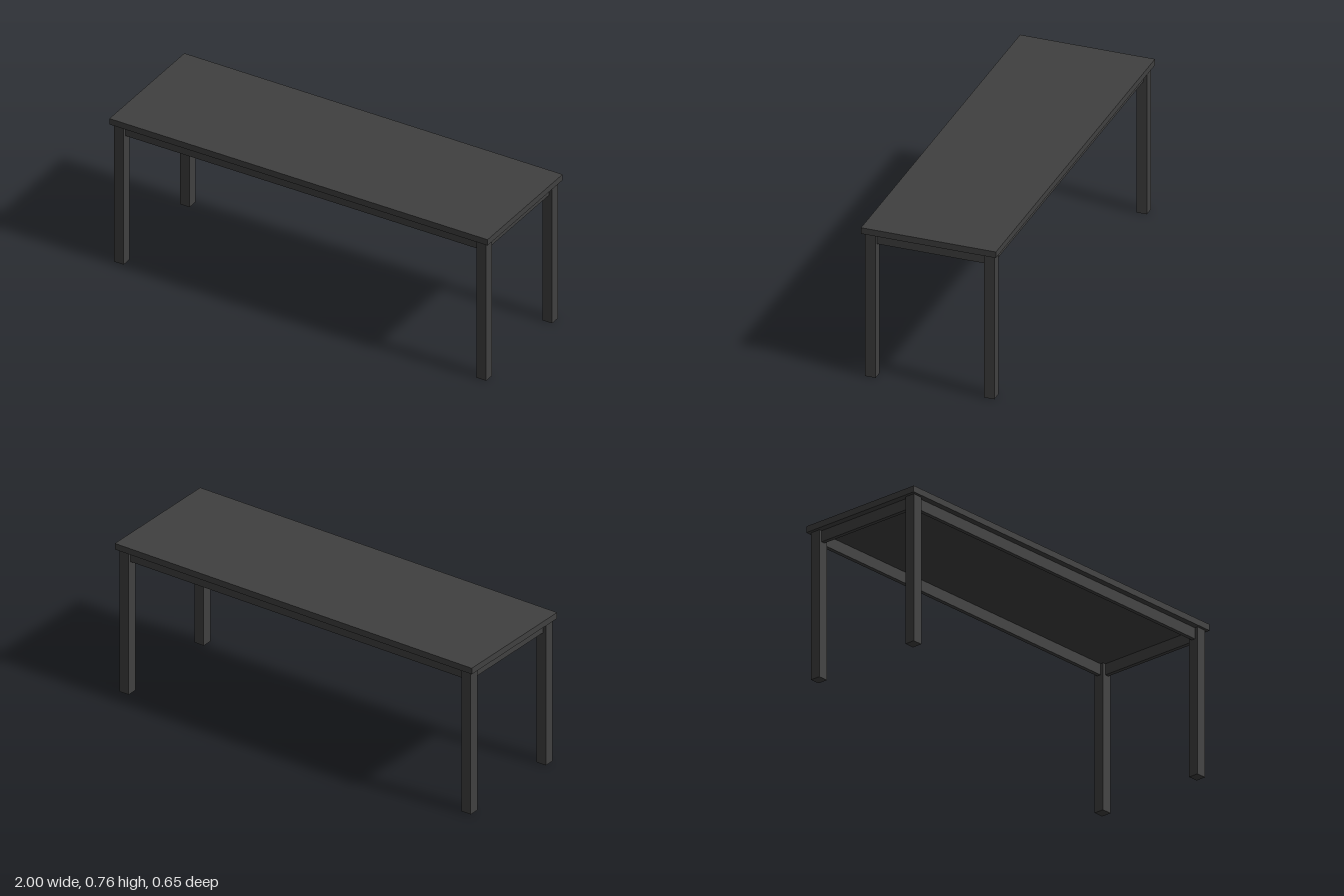
import * as THREE from 'three';

export function createModel() {
  const table = new THREE.Group();
  table.name = 'table';
  const material = new THREE.MeshStandardMaterial({ color: 0x404040 });

  const box = (name, w, h, d, x, y, z) => {
    const mesh = new THREE.Mesh(new THREE.BoxGeometry(w, h, d), material);
    mesh.name = name;
    mesh.position.set(x, y, z);
    table.add(mesh);
  };

  const topY = 0.764, underY = 0.733, apronY = 0.678;
  const leg = 0.051, legX = 0.9585, legZ = 0.2875;
  const apronThick = 0.02, apronH = underY - apronY, apronMid = (underY + apronY) / 2;

  // Table top, overhanging the legs slightly
  box('tableTop', 2, topY - underY, 0.654, 0, (topY + underY) / 2, 0);

  // Four square legs
  for (const [sx, side] of [[1, 'Left'], [-1, 'Right']]) {
    for (const [sz, end] of [[1, 'front'], [-1, 'back']]) {
      box(`${end}${side}Leg`, leg, underY, leg, sx * legX, underY / 2, sz * legZ);
    }
    // Short apron between the legs at each end
    box(`${side.toLowerCase()}Apron`, apronThick, apronH, 2 * legZ - leg, sx * legX, apronMid, 0);
  }

  // Long aprons along the front and back
  for (const [sz, end] of [[1, 'front'], [-1, 'back']]) {
    box(`${end}Apron`, 2 * legX - leg, apronH, apronThick, 0, apronMid, sz * legZ);
  }

  return table;
}
